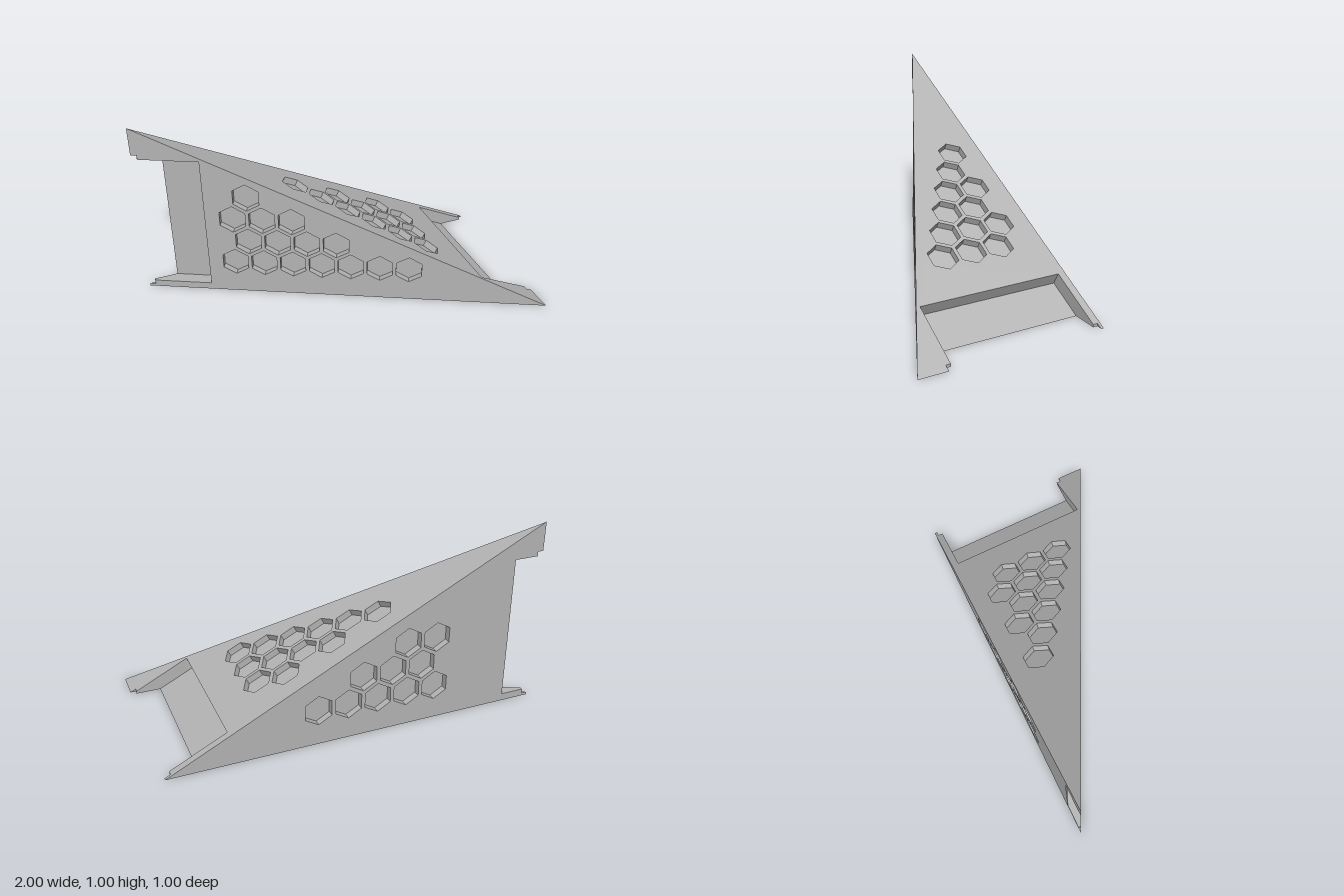
import * as THREE from 'three';
import { mergeGeometries } from 'three/addons/utils/BufferGeometryUtils.js';

const V = (x, y, z) => new THREE.Vector3(x, y, z);
const S5 = Math.sqrt(5);
const HEX_R = 0.0808, HEX_DEPTH = 0.036, PITCH = 0.16, ROW = PITCH * Math.sqrt(3) / 2;
const X = V(1, 0, 0), Y = V(0, 1, 0), Z = V(0, 0, 1);

const grey = new THREE.MeshStandardMaterial({ color: 0xb4b4b4, side: THREE.DoubleSide });
grey.name = 'grey';

// Six corners of a hexagon around (cx, cy)
function hexPoints([cx, cy], turn) {
  return Array.from({ length: 6 }, (_, i) => {
    const a = turn + i * Math.PI / 3;
    return [cx + HEX_R * Math.cos(a), cy + HEX_R * Math.sin(a)];
  });
}

const toVec2 = pts => pts.map(p => new THREE.Vector2(p[0], p[1]));

// Flat panel in the plane origin + a*u + b*v, facing u x v, with sunken hexagons
function panel(name, pts, origin, u, v, hexes = [], turn = 0) {
  const group = new THREE.Group();
  group.name = name;
  const shape = new THREE.Shape(toVec2(pts));
  const pockets = [];
  for (const c of hexes) {
    const corners = hexPoints(c, turn);
    shape.holes.push(new THREE.Path(toVec2(corners)));
    const floor = new THREE.ShapeGeometry(new THREE.Shape(toVec2(corners)));
    floor.translate(0, 0, -HEX_DEPTH);
    // Mirroring turns the open prism inside out so its walls face inward
    const walls = new THREE.CylinderGeometry(HEX_R, HEX_R, HEX_DEPTH, 6, 1, true)
      .scale(-1, 1, 1).rotateX(Math.PI / 2).rotateZ(turn + Math.PI / 2)
      .translate(c[0], c[1], -HEX_DEPTH / 2).toNonIndexed();
    walls.computeVertexNormals();
    pockets.push(floor.toNonIndexed(), walls);
  }
  const skin = new THREE.Mesh(new THREE.ShapeGeometry(shape), grey);
  skin.name = name + 'Skin';
  group.add(skin);
  if (pockets.length) {
    const mesh = new THREE.Mesh(mergeGeometries(pockets), grey);
    mesh.name = name + 'HexPockets';
    group.add(mesh);
  }
  const n = u.clone().cross(v);
  group.quaternion.setFromRotationMatrix(new THREE.Matrix4().makeBasis(u, v, n));
  group.position.copy(origin);
  return group;
}

const rect = (w, h) => [[0, 0], [w, 0], [w, h], [0, h]];
const swap = pts => pts.map(([a, b]) => [b, a]);

// Right triangle of given length whose short edge is notched to the given depth
function notchedTriangle(length, depth, lip) {
  return [[0, 0], [0, 0.015], [lip, 0.015], [lip, 0.04], [depth, 0.04], [depth, 0.82],
    [lip, 0.82], [lip, 0.845], [0, 0.845], [0, 1], [length, 0]];
}

// One half of the body: a sloping panel, a flat panel and the notch on their shared edge
function half(name, slopeHexes, slopeTurn, flatHexes) {
  const g = new THREE.Group();
  g.name = name;
  const along = V(-2, 1, 0).divideScalar(S5), inward = V(1, 2, 0).divideScalar(S5);
  const corner = V(1, 0, -0.5);
  g.add(panel('slopingPanel', notchedTriangle(S5, 0.16 * S5, 0.015 * S5),
    corner, along, Z, slopeHexes, slopeTurn));
  g.add(panel('flatPanel', swap(notchedTriangle(2, 0.16, 0.03)),
    corner, Z, V(-1, 0, 0), flatHexes, 0));

  // Recessed notch floor and its undercut back wall
  g.add(panel('notchFloor', rect(0.096 * S5, 0.78), V(0.84, 0, -0.46), along, Z));
  g.add(panel('notchBack', rect(0.032 * S5, 0.78), V(0.648, 0.096, -0.46), inward, Z));

  // Notch ends with small steps at the tips
  const cheek = [[0.648, 0.096], [0.84, 0], [0.97, 0], [0.97, 0.015], [0.68, 0.16]];
  const tip = [[0.97, 0], [1, 0], [0.97, 0.015]];
  g.add(panel('notchCheekA', cheek, V(0, 0, -0.46), X, Y));
  g.add(panel('notchCheekB', swap(cheek), V(0, 0, 0.32), Y, X));
  g.add(panel('tipCheekA', tip, V(0, 0, -0.485), X, Y));
  g.add(panel('tipCheekB', swap(tip), V(0, 0, 0.345), Y, X));
  for (const z of [-0.485, 0.32]) {
    g.add(panel('tipStep', rect(0.015, 0.025), V(0.97, 0, z), Y, Z));
  }
  return g;
}

// Staggered hexagon rows: place(row, offset along the row) gives the centre
function hexRows(counts, firstOffset, place) {
  return counts.flatMap((n, r) => Array.from({ length: n },
    (_, i) => place(r, firstOffset + (r % 2) * PITCH / 2 + i * PITCH)));
}

export function createModel() {
  const model = new THREE.Group();
  model.name = 'tetrahedronBody';

  const topHexes = hexRows([1, 1, 2, 2, 3, 3], 0.175, (r, o) => [1.3025 - r * ROW, o]);
  const frontHexes = hexRows([7, 4, 3, 1], 0.509, (r, o) => [o, 0.198 + r * ROW]);
  const backHexes = hexRows([5, 3, 2], 0.585, (r, o) => [0.192 + r * ROW, o]);

  // Top slope and underside
  model.add(half('topAndUnderside', topHexes, 0, []));

  // Front and back: the same half turned about the body's symmetry axis
  const upright = half('frontAndBack', frontHexes, Math.PI / 2, backHexes);
  upright.quaternion.setFromAxisAngle(V(0, 1, 1).normalize(), Math.PI);
  upright.position.set(0, 0.5, -0.5);
  model.add(upright);
  return model;
}
